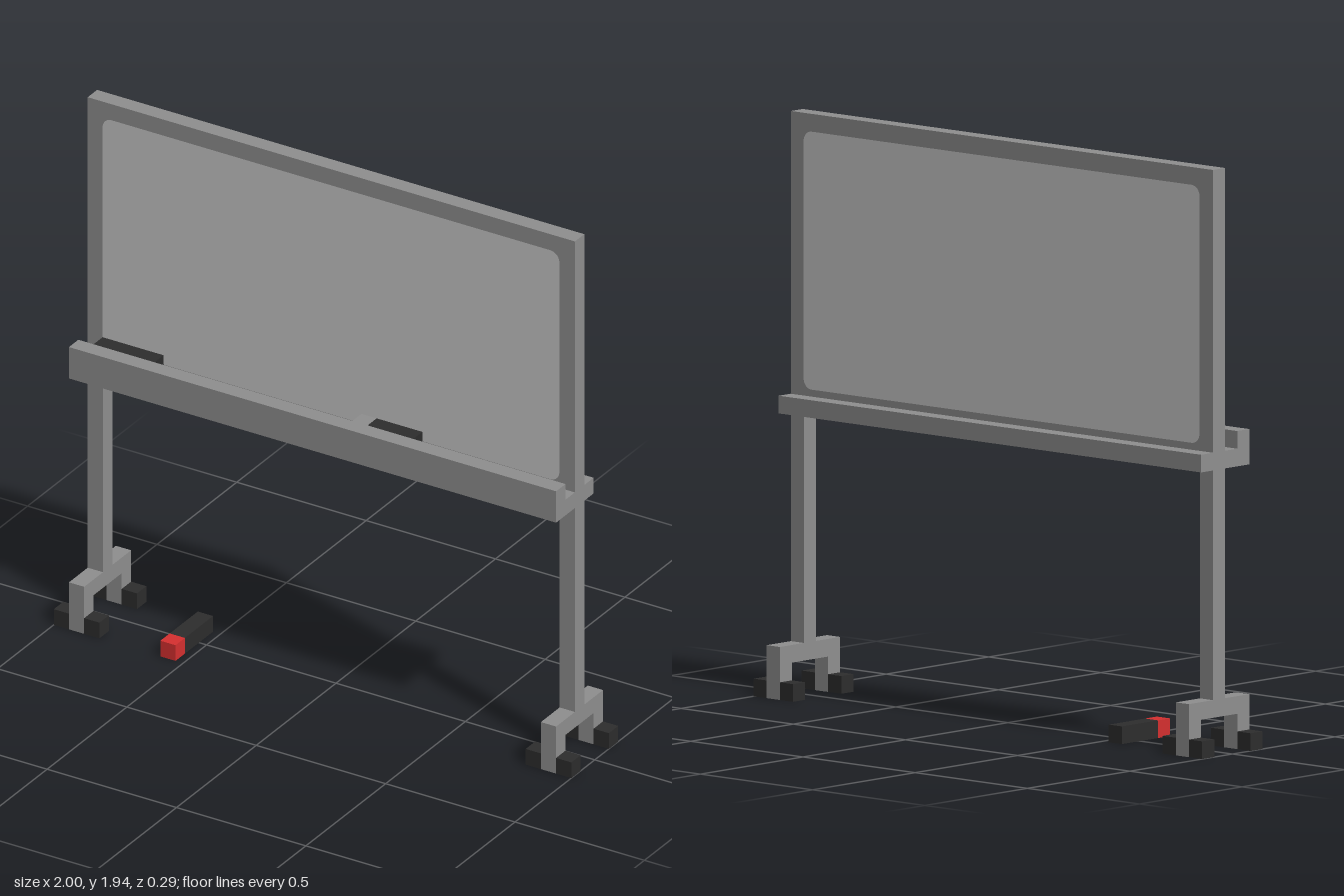
import * as THREE from 'three';

const U = 2 / 34; // the whole model sits on a grid of this size

const mat = (name, color) => {
  const m = new THREE.MeshStandardMaterial({ color });
  m.name = name;
  return m;
};

export function createModel() {
  const grey = mat('grey metal', 0x8f8f8f);
  const white = mat('board surface', 0xc8c8c8);
  const black = mat('black plastic', 0x2d2d2d);
  const red = mat('red cap', 0xd63030);

  const root = new THREE.Group();
  root.name = 'rollingWhiteboard';

  // Box given by its limits in grid units
  const box = (name, material, x0, x1, y0, y1, z0, z1, parent = root) => {
    const mesh = new THREE.Mesh(new THREE.BoxGeometry((x1 - x0) * U, (y1 - y0) * U, (z1 - z0) * U), material);
    mesh.position.set((x0 + x1) * U / 2, (y0 + y1) * U / 2, (z0 + z1) * U / 2);
    mesh.name = name;
    parent.add(mesh);
    return mesh;
  };

  // Board slab
  box('boardFrame', grey, -16, 16, 17, 33, -0.5, 0.5);

  // Rounded writing surface on both faces
  const w = 15 * U, y0 = 17.4 * U, y1 = 32 * U, r = 0.6 * U;
  const shape = new THREE.Shape();
  shape.moveTo(-w + r, y0);
  shape.lineTo(w - r, y0);
  shape.absarc(w - r, y0 + r, r, -Math.PI / 2, 0);
  shape.absarc(w - r, y1 - r, r, 0, Math.PI / 2);
  shape.absarc(-w + r, y1 - r, r, Math.PI / 2, Math.PI);
  shape.absarc(-w + r, y0 + r, r, Math.PI, Math.PI * 1.5);
  const surface = new THREE.ShapeGeometry(shape, 6);
  for (const side of [1, -1]) {
    const panel = new THREE.Mesh(surface, white);
    panel.name = side > 0 ? 'frontSurface' : 'backSurface';
    panel.position.z = side * (0.5 * U + 0.002);
    if (side < 0) panel.rotation.y = Math.PI;
    root.add(panel);
  }

  // Tray with a raised front lip
  box('tray', grey, -16, 16, 16, 17, -1.5, 1.5);
  box('trayLip', grey, -16, 16, 16, 18, 1.5, 2.5);

  // Things lying in the tray
  box('eraser', black, -15, -11, 17, 18, 0.5, 1.5);
  box('trayMarkerCap', grey, 2, 3, 17, 18, 0.5, 1.5);
  box('trayMarkerBody', black, 3, 6, 17, 18, 0.5, 1.5);

  // Marker dropped on the floor
  box('floorMarkerCap', red, -10, -9, 0, 1, 1.5, 2.5);
  box('floorMarkerBody', black, -10, -9, 0, 1, -1.5, 1.5);

  // Posts, feet and wheels, one set per side
  for (const s of [1, -1]) {
    const stand = new THREE.Group();
    stand.name = s > 0 ? 'leftStand' : 'rightStand';
    root.add(stand);
    const c = s * 15.5;
    box('post', grey, c - 0.5, c + 0.5, 3, 16, -0.5, 0.5, stand);
    box('footBeam', grey, c - 0.5, c + 0.5, 2, 3, -2.5, 2.5, stand);
    for (const z of [-2, 2]) {
      box('footLeg', grey, c - 0.5, c + 0.5, 0, 2, z - 0.5, z + 0.5, stand);
      for (const x of [c - 1, c + 1]) {
        box('wheel', black, x - 0.5, x + 0.5, 0, 1, z - 0.5, z + 0.5, stand);
      }
    }
  }
  return root;
}
